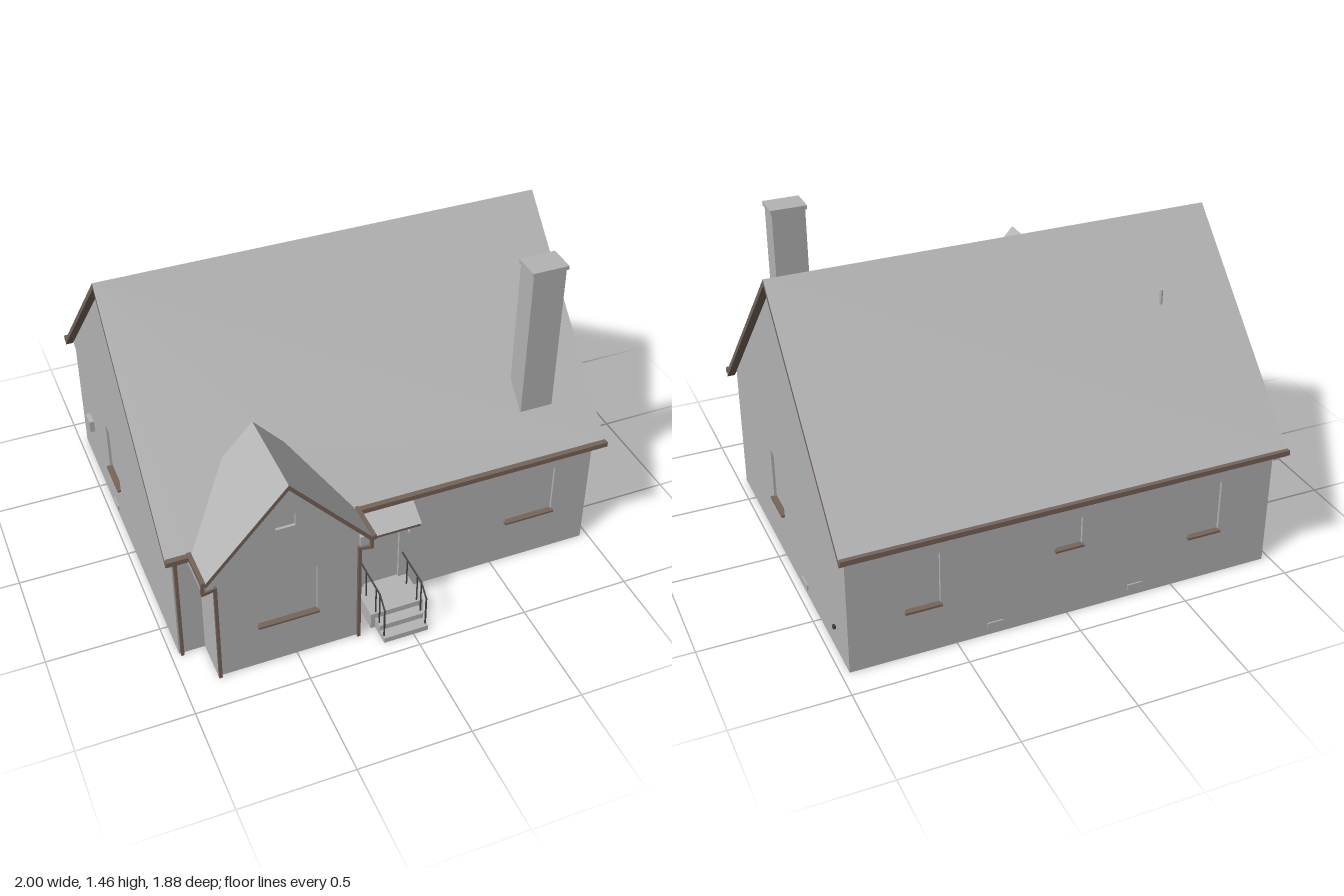
import * as THREE from 'three';

const mat = (name, color) => {
  const m = new THREE.MeshStandardMaterial({ color, side: THREE.DoubleSide });
  m.name = name;
  return m;
};

export function createModel() {
  const grey = mat('plaster grey', 0xb4b4b4);
  const brown = mat('timber brown', 0x76655a);
  const dark = mat('dark metal', 0x4a4642);
  const house = new THREE.Group();
  house.name = 'house';

  const add = (name, geo, material) => {
    const m = new THREE.Mesh(geo, material);
    m.name = name;
    house.add(m);
    return m;
  };
  // Box given by its low and high limits on each axis
  const box = (name, material, x0, x1, y0, y1, z0, z1) => {
    const m = add(name, new THREE.BoxGeometry(x1 - x0, y1 - y0, z1 - z0), material);
    m.position.set((x0 + x1) / 2, (y0 + y1) / 2, (z0 + z1) / 2);
  };
  // Square bars following a path
  const bars = (name, material, t, pts) => {
    for (let i = 0; i < pts.length - 1; i++) {
      const a = new THREE.Vector3(...pts[i]), b = new THREE.Vector3(...pts[i + 1]);
      const m = add(name, new THREE.BoxGeometry(t, t, a.distanceTo(b) + t), material);
      m.position.copy(a).add(b).multiplyScalar(0.5);
      m.lookAt(b);
    }
  };
  // Flat sheet with holes; map turns (u, v, depth) into a point
  const sheet = (name, material, outline, map, holes = [], depth = 0) => {
    const v2 = (pts) => pts.map(([u, v]) => new THREE.Vector2(u, v));
    const shape = new THREE.Shape(v2(outline));
    shape.holes = holes.map((h) => new THREE.Path(v2(h)));
    const geo = new THREE.ShapeGeometry(shape).toNonIndexed();
    const p = geo.attributes.position;
    for (let i = 0; i < p.count; i++) p.setXYZ(i, ...map(p.getX(i), p.getY(i), depth));
    geo.computeVertexNormals();
    add(name, geo, material);
  };
  // Wall sheet with recessed panels [u0, u1, v0, v1, name]
  const R = 0.012;
  const wall = (name, outline, map, openings = []) => {
    const corners = ([a, b, c, d]) => [[a, c], [b, c], [b, d], [a, d]];
    sheet(name, grey, outline, map, openings.map(corners));
    for (const o of openings) {
      const c = corners(o);
      sheet(o[4], grey, c, map, [], R);
      c.forEach((p, i) => {
        const q = c[(i + 1) % 4];
        sheet(o[4] + 'Reveal', grey, [[0, 0], [1, 0], [1, R], [0, R]],
          (u, v) => map(p[0] + (q[0] - p[0]) * u, p[1] + (q[1] - p[1]) * u, v));
      });
    }
  };

  // Main dimensions and roof heights
  const W = 0.965, ZF = 0.665, ZB = -0.87, ZW = 0.845, RZ = -0.105, RX = -0.535;
  const mainY = (z) => 1.41 - Math.abs(z - RZ) * 1.012;
  const wingY = (x) => 0.985 - Math.abs(x - RX) * 1.11;
  const L = -0.85, Rt = -0.22, T = 0.012;
  const front = (z) => (u, v, d) => [u, v, z - d];
  const back = (u, v, d) => [u, v, ZB + d];
  const side = (x) => (u, v, d) => [x - Math.sign(x) * d, v, u];
  const rect = (a, b, c, d) => [[a, c], [b, c], [b, d], [a, d]];

  // Main walls
  const eaveF = mainY(ZF) - T, eaveB = mainY(ZB) - T;
  const gable = [[ZB, 0], [ZF, 0], [ZF, eaveF], [RZ, 1.41 - T], [ZB, eaveB]];
  wall('rightWall', gable, side(W), [[-0.02, 0.14, 0.225, 0.47, 'sideWindow']]);
  wall('leftWall', gable, side(-W), [[-0.36, -0.18, 0.225, 0.47, 'sideWindow']]);
  wall('backWall', rect(-W, W, 0, eaveB), back, [
    [0.57, 0.72, 0.225, 0.47, 'backWindow'],
    [-0.06, 0.06, 0.34, 0.47, 'smallBackWindow'],
    [-0.72, -0.57, 0.225, 0.47, 'backWindow']]);
  wall('frontWall', rect(Rt, W, 0, eaveF), front(ZF), [
    [-0.12, 0.045, 0.08, 0.42, 'door'],
    [0.56, 0.79, 0.225, 0.47, 'frontWindow']]);
  wall('frontWallCorner', rect(-W, L, 0, eaveF), front(ZF));

  // Front wing walls
  wall('wingFront', [[L, 0], [Rt, 0], [Rt, wingY(Rt) - T], [RX, 0.985 - T], [L, wingY(L) - T]], front(ZW), [
    [-0.665, -0.405, 0.225, 0.47, 'wingWindow'],
    [-0.58, -0.495, 0.73, 0.795, 'atticHatch']]);
  for (const x of [L, Rt]) wall('wingSide', rect(ZF, ZW, 0, wingY(x) - T), side(x));

  // Window sills
  for (const [a, b] of [[0.555, 0.795]]) box('sill', brown, a, b, 0.218, 0.228, ZF - R, ZF + 0.015);
  box('sill', brown, -0.67, -0.4, 0.218, 0.228, ZW - R, ZW + 0.015);
  box('sill', brown, W - R, W + 0.015, 0.218, 0.228, -0.025, 0.145);
  box('sill', brown, -W - 0.015, -W + R, 0.218, 0.228, -0.365, -0.175);
  for (const [a, b, y] of [[0.565, 0.725, 0.22], [-0.065, 0.065, 0.332], [-0.725, -0.565, 0.22]])
    box('sill', brown, a, b, y, y + 0.01, ZB - 0.015, ZB + R);

  // Main roof, cut open where the wing joins
  const ZE = 0.71, BE = -0.92, CUT = 0.47, EL = -0.89, ER = -0.18;
  const onMain = (u, v) => [u, mainY(v), v];
  sheet('roofFront', grey, [[-1, RZ], [1, RZ], [1, ZE], [ER, ZE], [-0.4, CUT], [-0.67, CUT], [EL, ZE], [-1, ZE]], onMain);
  sheet('roofBack', grey, rect(-1, 1, BE, RZ), onMain);
  // Wing roof
  const onWing = (u, v) => [u, wingY(u), v];
  const WZ = 0.888;
  sheet('wingRoofLeft', grey, [[RX, WZ], [RX, CUT], [-0.67, CUT], [EL, ZE], [EL, WZ]], onWing);
  sheet('wingRoofRight', grey, [[RX, WZ], [RX, CUT], [-0.4, CUT], [ER, ZE], [ER, WZ]], onWing);

  // Verge boards: chevrons just under the roof edges
  const chevron = (a, mid, b, yf, t) => {
    const top = [a, mid, b].map((u) => [u, yf(u) - 0.002]);
    const low = [b, mid, a].map((u) => [u, yf(u) - t]);
    return new THREE.Shape([...top, ...low].map(([u, v]) => new THREE.Vector2(u, v)));
  };
  const extrude = (s, depth) => new THREE.ExtrudeGeometry(s, { depth, bevelEnabled: false });
  for (const x of [-1, W]) {
    const m = add('verge', extrude(chevron(-ZE, -RZ, -BE, (u) => mainY(-u), 0.028), 0.035), brown);
    m.rotation.y = Math.PI / 2;
    m.position.x = x;
  }
  add('wingVerge', extrude(chevron(EL, RX, ER, wingY, 0.025), WZ - ZW), brown).position.z = ZW;

  // Eaves boards and gutters
  const soffit = (z0, z1) => (u, v) => [u, mainY(z0 + v * (z1 - z0)) - 0.015, z0 + v * (z1 - z0)];
  sheet('backSoffit', brown, rect(-1, 1, 0, 1), soffit(ZB, BE));
  box('backGutter', brown, -1, 1, 0.574, 0.597, -0.94, BE);
  for (const [a, b] of [[-1, EL], [ER, 1]]) {
    sheet('frontSoffit', brown, rect(a, b, 0, 1), soffit(ZF, ZE));
    box('frontGutter', brown, a, b, 0.574, 0.597, 0.705, 0.73);
  }
  box('wingGutter', brown, -0.908, EL, 0.574, 0.597, 0.7, WZ);
  box('wingGutter', brown, ER, -0.163, 0.574, 0.597, 0.7, WZ);
  // Boxed eaves ends of the wing
  box('eavesBox', grey, -0.9, L, 0.52, 0.572, ZF, ZW + 0.01);
  box('eavesBox', grey, Rt, -0.17, 0.52, 0.572, ZF, ZW + 0.01);
  // Rafter tails along the back
  for (let i = 0; i < 10; i++) {
    const x = -0.95 + i * 0.211;
    box('rafterTail', grey, x - 0.012, x + 0.012, 0.545, 0.575, -0.912, ZB);
  }

  // Downpipes
  bars('downpipe', brown, 0.014, [[-0.953, 0.007, 0.675], [-0.953, 0.53, 0.675], [-0.953, 0.575, 0.715]]);
  bars('downpipe', brown, 0.014, [[-0.843, 0.007, 0.853], [-0.843, 0.515, 0.853], [-0.897, 0.515, 0.862], [-0.897, 0.575, 0.862]]);
  bars('downpipe', brown, 0.014, [[-0.222, 0.007, 0.853], [-0.222, 0.515, 0.853], [-0.173, 0.515, 0.862], [-0.173, 0.575, 0.862]]);

  // Chimney and vent pipe
  box('chimney', grey, 0.65, 0.8, 0.745, 1.44, 0.45, 0.56);
  box('chimneyCap', grey, 0.643, 0.807, 1.44, 1.458, 0.443, 0.567);
  const pipe = add('ventPipe', new THREE.CylinderGeometry(0.007, 0.007, 0.08, 10), grey);
  pipe.position.set(-0.648, 1.138, -0.395);

  // Lean-to canopy over the door
  const wedge = new THREE.Shape([[-ZF, 0.472], [-ZF, 0.555], [-0.785, 0.485], [-0.785, 0.472]].map((p) => new THREE.Vector2(...p)));
  const canopy = add('canopy', extrude(wedge, 0.236), brown);
  canopy.rotation.y = Math.PI / 2;
  canopy.position.x = -0.153;
  sheet('canopyRoof', grey, rect(-0.157, 0.087, 0, 1), (u, v) => [u, 0.563 - 0.074 * v, ZF + 0.125 * v]);
  for (const x of [-0.138, 0.068])
    bars('canopyBracket', grey, 0.014, [[x, 0.405, 0.672], [x, 0.465, 0.74]]);

  // Entrance steps
  box('landing', grey, -0.157, 0.087, 0, 0.08, ZF, 0.835);
  box('middleStep', grey, -0.137, 0.067, 0, 0.053, 0.835, 0.885);
  box('bottomStep', grey, -0.137, 0.067, 0, 0.026, 0.885, 0.935);
  // Handrails
  for (const x of [-0.131, 0.061]) {
    bars('handrail', dark, 0.006, [[x, 0.222, 0.67], [x, 0.222, 0.865], [x, 0.175, 0.918], [x, 0.026, 0.918]]);
    for (const [z, y] of [[0.72, 0.08], [0.825, 0.08], [0.865, 0.053]])
      bars('railPost', dark, 0.005, [[x, y, z], [x, 0.222, z]]);
  }

  // Small wall fittings
  box('letterBox', brown, -0.205, -0.147, 0.236, 0.288, ZF, 0.685);
  box('doorLamp', grey, 0.085, 0.123, 0.332, 0.395, ZF, 0.682);
  box('meterBox', grey, -0.988, -W, 0.23, 0.29, -0.7, -0.63);
  box('pipeOutlet', dark, W, 0.976, 0.105, 0.121, -0.712, -0.698);
  for (const x of [0.33, -0.32]) box('airBrick', grey, x - 0.035, x + 0.035, 0.035, 0.06, ZB - 0.006, ZB);
  for (const s of [-1, 1]) box('airBrick', grey, s * 0.968 - 0.003, s * 0.968 + 0.003, 0.035, 0.06, -0.33, -0.26);

  return house;
}
